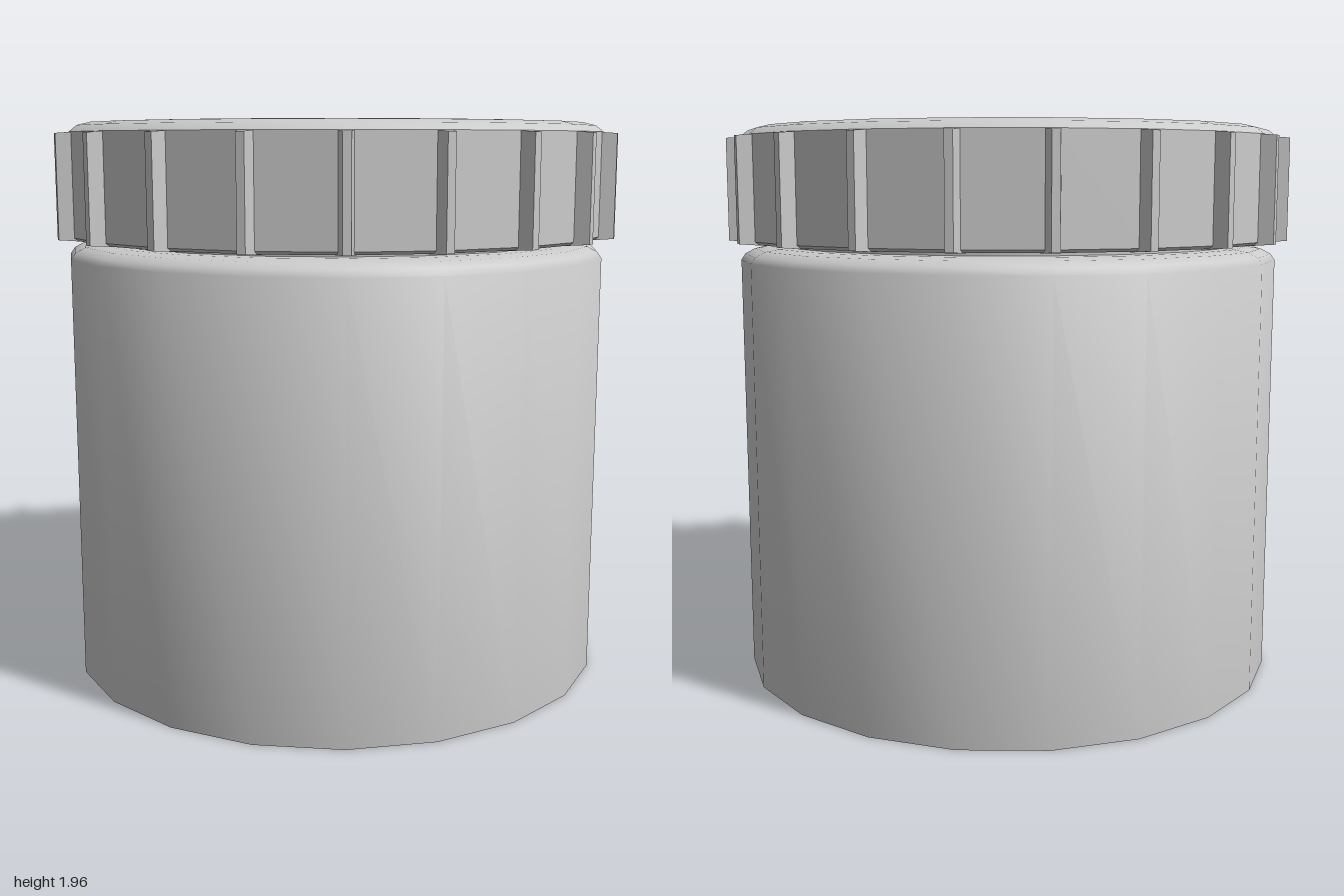
import * as THREE from 'three';
import { toCreasedNormals } from 'three/addons/utils/BufferGeometryUtils.js';

const SIDES = 20;

export function createModel() {
  const model = new THREE.Group();
  const smooth = new THREE.MeshStandardMaterial({ color: 0xcccccc });
  const faceted = new THREE.MeshStandardMaterial({ color: 0xcccccc, flatShading: true });

  // Turned part from a profile of [radius, height], listed bottom to top
  const lathe = (name, profile, material, crease) => {
    let geo = new THREE.LatheGeometry(profile.map(([r, y]) => new THREE.Vector2(r, y)), SIDES);
    if (crease) geo = toCreasedNormals(geo, crease);
    const mesh = new THREE.Mesh(geo, material);
    mesh.name = name;
    model.add(mesh);
  };

  // Jar body with rounded shoulder and a short neck under the lid
  lathe('jarBody', [
    [0, 0], [0.96, 0], [0.96, 1.49], [0.945, 1.512], [0.91, 1.53],
    [0.86, 1.538], [0.82, 1.54], [0.82, 1.57],
  ], smooth, 0.75);

  // Lid: faceted underside and skirt, softly bevelled top
  lathe('lidSkirt', [[0.8, 1.555], [0.94, 1.555], [0.953, 1.565], [0.953, 1.92]], faceted);
  lathe('lidTop', [
    [0.953, 1.92], [0.925, 1.942], [0.88, 1.953], [0.82, 1.955], [0, 1.955],
  ], smooth, 0.8);

  // Grip rib: a box tapered towards its outer face
  const ribGeo = new THREE.BoxGeometry(0.09, 0.37, 0.064);
  ribGeo.translate(0.955, 1.737, 0);
  const pos = ribGeo.attributes.position;
  for (let i = 0; i < pos.count; i++) {
    if (pos.getX(i) < 0.95) continue;
    pos.setZ(i, pos.getZ(i) * 0.42);
    pos.setY(i, 1.737 + (pos.getY(i) - 1.737) * 0.965);
  }
  const ribs = new THREE.Group();
  ribs.name = 'gripRibs';
  for (let i = 0; i < SIDES; i++) {
    const rib = new THREE.Mesh(ribGeo, faceted);
    rib.name = 'gripRib';
    rib.rotation.y = (i / SIDES) * Math.PI * 2;
    ribs.add(rib);
  }
  model.add(ribs);
  return model;
}
